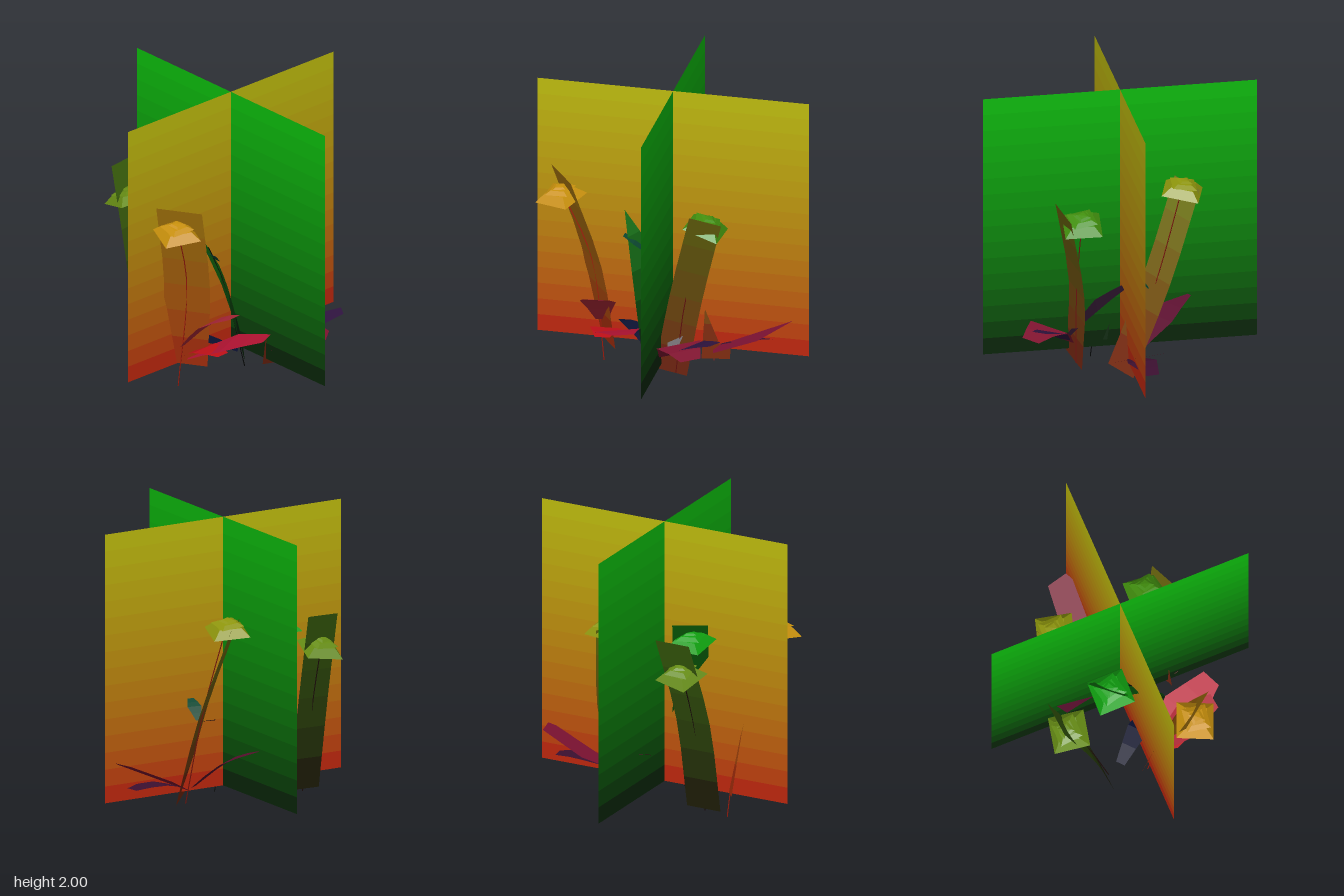
import * as THREE from 'three';

const V = (p) => new THREE.Vector3(...p);

// Flat strip along a smooth path; coloured band by band from one end to the other
function ribbon(name, path, across, widthAt, from, to, bands) {
  const group = new THREE.Group();
  group.name = name;
  const curve = new THREE.CatmullRomCurve3(path.map(V));
  const side = V(across);
  const c0 = new THREE.Color(from), c1 = new THREE.Color(to);
  const edge = (t) => {
    const p = curve.getPoint(t), w = widthAt(t) / 2;
    return [p.clone().addScaledVector(side, -w), p.clone().addScaledVector(side, w)];
  };
  for (let i = 0; i < bands; i++) {
    const [a, b] = edge(i / bands), [c, d] = edge((i + 1) / bands);
    const geo = new THREE.BufferGeometry().setFromPoints([a, b, d, a, d, c]);
    geo.computeVertexNormals();
    const mat = new THREE.MeshStandardMaterial({
      color: c0.clone().lerp(c1, (i + 0.5) / bands), side: THREE.DoubleSide, flatShading: true,
    });
    const mesh = new THREE.Mesh(geo, mat);
    mesh.name = name + 'Band';
    group.add(mesh);
  }
  return group;
}

// Broad leaf: arched path, narrow at the root and blunt at the tip
function leaf(name, root, tip, width, color, arch = 0.05) {
  const a = V(root), b = V(tip);
  const mid = a.clone().lerp(b, 0.5);
  mid.y += arch;
  const dir = b.clone().sub(a);
  const across = new THREE.Vector3(-dir.z, 0, dir.x).normalize();
  const widthAt = (t) => width * (t < 0.5 ? 0.35 + 1.3 * t : 1 - 1.1 * (t - 0.5));
  return ribbon(name, [root, mid.toArray(), tip], across.toArray(), widthAt, color, color, 4);
}

// Square drooping bloom with smaller squares stacked on top
function bloom(pos, color, turn, tilt) {
  const group = new THREE.Group();
  group.name = 'flowerHead';
  const layers = [[0.175, 0.07, 0], [0.115, 0.025, 0.012], [0.06, 0.012, 0.024]];
  layers.forEach(([r, drop, lift], i) => {
    const profile = [[0.001, 0], [r * 0.6, -drop * 0.25], [r, -drop]].map(([x, y]) => new THREE.Vector2(x, y));
    const mesh = new THREE.Mesh(new THREE.LatheGeometry(profile, 4),
      new THREE.MeshStandardMaterial({ color, side: THREE.DoubleSide, flatShading: true }));
    mesh.name = 'petalLayer';
    mesh.position.y = lift;
    mesh.rotation.y = turn + i * 0.25;
    group.add(mesh);
  });
  group.position.set(...pos);
  group.rotation.set(tilt[0], 0, tilt[1]);
  return group;
}

export function createModel() {
  const model = new THREE.Group();
  model.name = 'flowerPatch';

  // Two tall crossed panels
  const upright = [[0, 0.17, 0], [0, 1.085, 0], [0, 2, 0]];
  model.add(ribbon('widePanel', upright, [1, 0, 0], () => 1.84, 0xbd0d0d, 0xbdbd0d, 16));
  model.add(ribbon('deepPanel', upright, [0, 0, 1], () => 1.84, 0x080808, 0x0dbd0d, 16));

  // Flowers: wide blade, thin stem from foot to head, bloom
  const flowers = [
    { path: [[-0.45, 0.17, 0.04], [-0.52, 0.8, 0.14], [-0.7, 1.44, 0.26]], across: [0.19, -0.02, 0.24],
      foot: [-0.47, 0, 0], head: [-0.71, 1.33, 0.25], from: 0xa81c0c, to: 0xb0800c, color: 0xc8900c, turn: 0.4, tilt: [0.1, 0.1] },
    { path: [[-0.06, 0.2, 0.19], [-0.16, 0.75, 0.07], [-0.32, 1.4, -0.24]], across: [0.16, 0.04, -0.2],
      foot: [-0.05, 0.08, 0.19], head: [-0.3, 1.32, -0.2], from: 0x050807, to: 0x0c780c, color: 0x10a010, turn: 0.75, tilt: [-0.15, 0] },
    { path: [[0.3, 0.11, 0.05], [0.28, 0.75, -0.2], [0.17, 1.37, -0.42]], across: [0.16, -0.05, -0.14],
      foot: [0.28, 0.08, 0.02], head: [0.21, 1.39, -0.39], from: 0x7a140c, to: 0x6e780c, color: 0x8e960c, turn: 0.5, tilt: [-0.15, -0.1] },
    { path: [[0.06, 0.11, 0.32], [0.16, 0.65, 0.32], [0.32, 1.275, 0.44]], across: [0.2, -0.07, -0.07],
      foot: [0.09, 0.1, 0.31], head: [0.31, 1.23, 0.31], from: 0x701410, to: 0x66660c, color: 0x42900e, turn: 0.7, tilt: [0.05, -0.3] },
    { path: [[-0.45, 0.15, -0.29], [-0.44, 0.8, -0.42], [-0.39, 1.41, -0.62]], across: [0.24, 0.01, -0.02],
      foot: [-0.45, 0.13, -0.27], head: [-0.42, 1.22, -0.56], from: 0x1c0c08, to: 0x3c640c, color: 0x668c14, turn: 0.55, tilt: [-0.3, 0.05] },
  ];
  for (const f of flowers) {
    const plant = new THREE.Group();
    plant.name = 'flower';
    plant.add(ribbon('blade', f.path, f.across, () => 1, f.from, f.to, 6));
    const stemCurve = new THREE.CatmullRomCurve3([f.foot, f.path[1], f.head].map(V));
    const stem = new THREE.Mesh(new THREE.TubeGeometry(stemCurve, 8, 0.004, 3),
      new THREE.MeshStandardMaterial({ color: f.from, flatShading: true }));
    stem.name = 'stem';
    plant.add(stem, bloom(f.head, f.color, f.turn, f.tilt));
    model.add(plant);
  }

  // Broad leaves around the roots
  const leaves = [
    [[0.28, 0.17, 0.04], [0.84, 0.44, -0.1], 0.33, 0x7c1232, 0.0],
    [[0.32, 0.2, -0.02], [0.76, 0.26, -0.08], 0.2, 0x3c1030, 0.04],
    [[0.25, 0.2, -0.03], [-0.02, 0.5, -0.44], 0.26, 0x5c1030, 0.05],
    [[0.08, 0.3, 0.36], [0.11, 0.63, -0.01], 0.19, 0x241024, 0.04],
    [[0.04, 0.24, 0.36], [0.27, 0.36, 0.65], 0.32, 0x801430, 0.1],
    [[0.06, 0.26, 0.38], [0.43, 0.48, 0.62], 0.22, 0x301440, 0.03],
    [[-0.42, 0.22, 0.06], [-0.2, 0.46, 0.57], 0.31, 0xb81434, 0.03],
    [[-0.47, 0.32, 0.06], [-0.42, 0.66, 0.5], 0.24, 0xb02838, 0.06],
    [[-0.42, 0.22, 0.02], [-0.4, 0.33, 0.36], 0.22, 0xc01018, 0.05],
    [[-0.12, 0.22, 0.2], [-0.46, 0.28, -0.19], 0.14, 0x0a1030, 0.06],
  ];
  for (const l of leaves) model.add(leaf('rootLeaf', ...l));

  // Small leaves half way up two stems
  model.add(leaf('stemLeaf', [-0.17, 0.84, 0.06], [-0.32, 0.95, 0.06], 0.12, 0x0c4832, 0.02));
  model.add(leaf('stemLeaf', [0.28, 0.68, -0.14], [0.26, 0.8, -0.01], 0.1, 0x0c4832, 0.02));

  return model;
}
